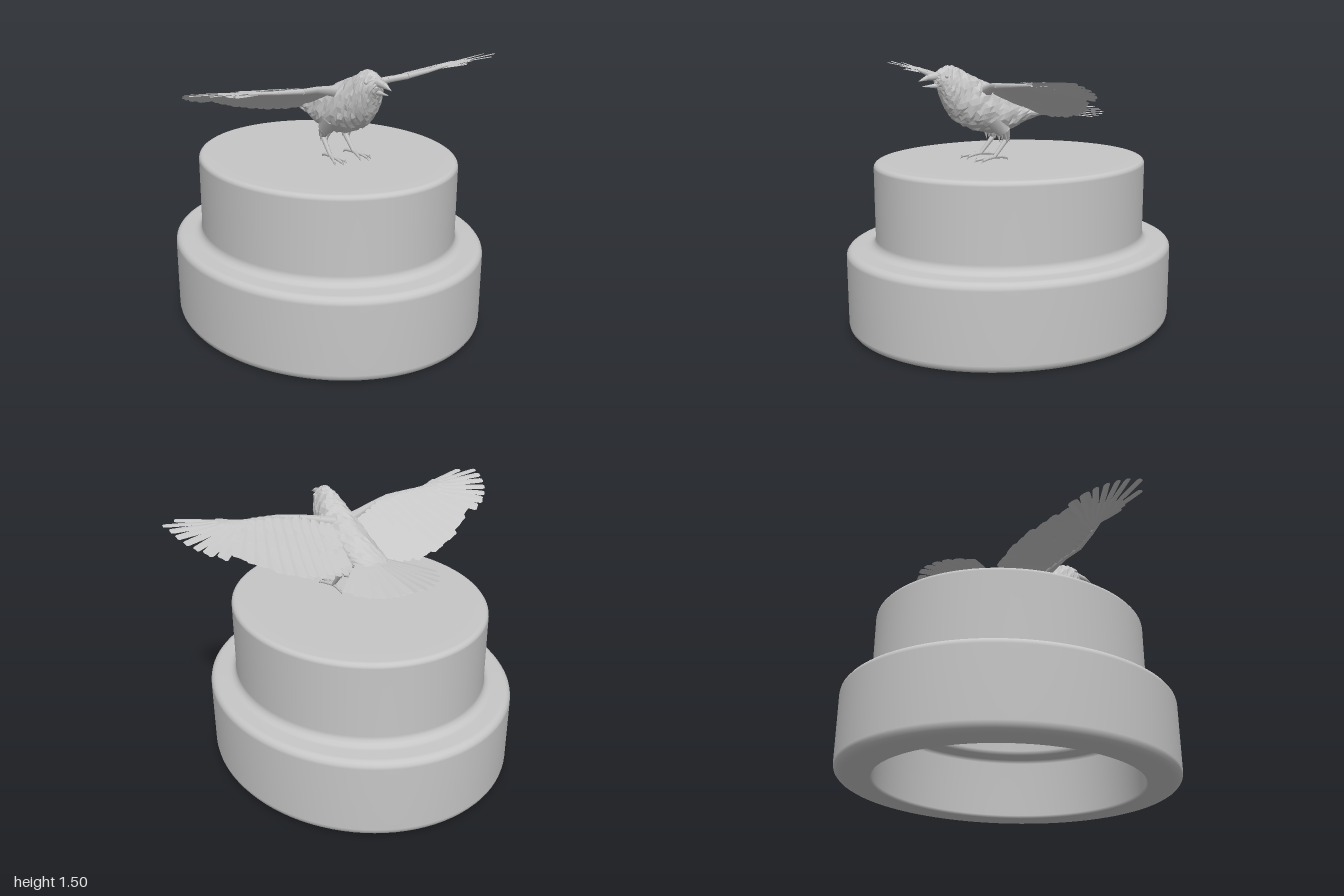
import * as THREE from 'three';
import { mergeGeometries } from 'three/addons/utils/BufferGeometryUtils.js';

const grey = new THREE.MeshStandardMaterial({ color: 0xc6c6c6, side: THREE.DoubleSide });
grey.name = 'plain grey';

const V = (x, y, z) => new THREE.Vector3(x, y, z);

function part(name, geometry) {
  const mesh = new THREE.Mesh(geometry, grey);
  mesh.name = name;
  return mesh;
}

function seeded(seed) {
  return () => (seed = (seed * 16807) % 2147483647) / 2147483647;
}

// Faceted geometry from a grid of points
function gridGeometry(rows) {
  const pos = [];
  for (let i = 0; i < rows.length - 1; i++) {
    for (let j = 0; j < rows[i].length - 1; j++) {
      const a = rows[i][j], b = rows[i][j + 1], c = rows[i + 1][j], d = rows[i + 1][j + 1];
      for (const p of [a, b, c, b, d, c]) pos.push(p.x, p.y, p.z);
    }
  }
  const g = new THREE.BufferGeometry();
  g.setAttribute('position', new THREE.Float32BufferAttribute(pos, 3));
  g.computeVertexNormals();
  return g;
}

// Tapered round bar between two points
function bar(a, b, r1, r2, sides = 7) {
  const dir = b.clone().sub(a);
  const g = new THREE.CylinderGeometry(r2, r1, dir.length(), sides);
  g.applyQuaternion(new THREE.Quaternion().setFromUnitVectors(V(0, 1, 0), dir.clone().normalize()));
  return g.translate((a.x + b.x) / 2, (a.y + b.y) / 2, (a.z + b.z) / 2);
}

// Feather vane laid on a height surface; root and tip are [x, z]
function feather(root, tip, width, height, lift = 0) {
  const dx = tip[0] - root[0], dz = tip[1] - root[1], len = Math.hypot(dx, dz);
  const stations = [[0, 0.4], [0.3, 0.75], [0.7, 1], [0.97, 0.95], [1, 0.65]];
  return gridGeometry(stations.map(([t, w]) => [-1, 0, 1].map((s) => {
    const half = s * w * width / 2;
    const x = root[0] + dx * t - dz / len * half, z = root[1] + dz * t + dx / len * half;
    return V(x, height(x, z) + lift + (s === 0 ? 0.003 : 0) + half * 0.12, z);
  })));
}

// Stepped oval plinth, hollow underneath
function plinth() {
  const path = [[0, 0.86], [0.55, 0.86], [0.57, 0.84], [0.57, 0.4], [0.58, 0.375], [0.66, 0.37], [0.675, 0.35],
    [0.675, 0.015], [0.685, 0]].map((p) => new THREE.Vector2(...p));
  const arc = (cx, cy, r, from, to) => {
    for (let i = 0; i <= 4; i++) {
      const a = (from + (to - from) * i / 4) * Math.PI / 180;
      path.push(new THREE.Vector2(cx + r * Math.cos(a), cy + r * Math.sin(a)));
    }
  };
  arc(0.81, 0.05, 0.05, -90, 0);
  arc(0.82, 0.44, 0.04, 0, 90);
  arc(0.76, 0.53, 0.05, 270, 180);
  arc(0.683, 0.933, 0.027, 0, 90);
  path.push(new THREE.Vector2(0.62, 0.96), new THREE.Vector2(0, 0.96));
  const g = new THREE.LatheGeometry(path, 96);
  g.scale(1, 1, 1.125);
  return part('plinth', g);
}

// Head, chest and back as one ruffled loft: z, top, bottom, half width
function body() {
  const rand = seeded(77);
  const sections = [
    [0.475, 1.455, 1.4, 0.022], [0.455, 1.478, 1.37, 0.045], [0.43, 1.49, 1.31, 0.063], [0.4, 1.498, 1.245, 0.077],
    [0.36, 1.492, 1.2, 0.088], [0.3, 1.465, 1.16, 0.105], [0.22, 1.425, 1.13, 0.125], [0.12, 1.385, 1.115, 0.13],
    [0.02, 1.34, 1.135, 0.12], [-0.08, 1.295, 1.175, 0.106], [-0.18, 1.255, 1.2, 0.09], [-0.26, 1.237, 1.21, 0.05],
  ];
  const spans = new THREE.CatmullRomCurve3(sections.map(([z, top, bottom]) => V(top, bottom, z)));
  const widths = new THREE.CatmullRomCurve3(sections.map(([z, , , w]) => V(w, 0, z)));
  const sides = 28, steps = 36;
  const rows = [];
  for (let i = 0; i <= steps; i++) {
    const span = spans.getPoint(i / steps), w = widths.getPoint(i / steps).x, row = [];
    for (let j = 0; j < sides; j++) {
      const a = (j + (i % 2) / 2) / sides * Math.PI * 2, egg = 1 - 0.14 * Math.sin(a);
      const k = i > 4 ? 1 + (rand() - 0.5) * 0.1 : 1;
      row.push(V(w * egg * Math.cos(a) * k, (span.x + span.y) / 2 + (span.x - span.y) / 2 * Math.sin(a) * k,
        span.z + (rand() - 0.5) * 0.008));
    }
    rows.push([...row, row[0]]);
  }
  const cap = (row, y, z) => row.map(() => V(0, y, z));
  return part('body', gridGeometry([cap(rows[0], 1.428, 0.482), ...rows, cap(rows[0], 1.223, -0.27)].reverse()));
}

// Wing built on +x: flight feathers, coverts and arm
function wing() {
  const group = new THREE.Group();
  const height = (x, z) => {
    const d = z - 0.25;
    return 1.378 + 0.08 * x + Math.min(d, d * 0.15) * 0.46 * (1 - 0.35 * x);
  };
  const curve = (pts) => new THREE.CatmullRomCurve3(pts.map(([x, z]) => V(x, 0, z)));
  const tips = curve([[0.12, -0.13], [0.19, -0.175], [0.28, -0.205], [0.38, -0.2], [0.49, -0.175], [0.6, -0.11], [0.71, -0.03]]);
  const roots = curve([[0.06, 0.16], [0.12, 0.18], [0.2, 0.22], [0.28, 0.26], [0.37, 0.285], [0.46, 0.28], [0.54, 0.27]]);
  const primaries = [[0.8, -0.01], [0.865, 0.03], [0.91, 0.075], [0.945, 0.125], [0.97, 0.18], [0.985, 0.235], [1, 0.305], [0.92, 0.36]];

  const flight = [];
  const rows = { under: [], middle: [], upper: [] };
  const addCoverts = (root, tip, width, shift) => {
    const at = (t) => [root[0] + (tip[0] - root[0]) * t, root[1] + (tip[1] - root[1]) * t];
    rows.under.push(feather(root, at(0.5), width, height, -0.008));
    rows.middle.push(feather(root, at(0.56 + shift), width, height, 0.007));
    rows.upper.push(feather(root, at(0.34 - shift), width, height, 0.013));
  };
  for (let i = 0; i < 12; i++) {
    const r = roots.getPoint(i / 11), t = tips.getPoint(i / 11);
    const root = [r.x, r.z], tip = [t.x, t.z + (i % 2) * 0.01];
    flight.push(feather(root, tip, 0.09, height, i * 0.0005));
    addCoverts(root, tip, 0.08, (i % 3) * 0.03);
  }
  primaries.forEach((tip, i) => {
    const root = [0.55 + i * 0.012, 0.265 + i * 0.002];
    flight.push(feather(root, tip, i < 2 ? 0.06 : 0.038, height, 0.004 + i * 0.001));
    addCoverts(root, [tip[0] * 0.97, tip[1]], 0.042, (i % 2) * 0.04);
  });
  group.add(part('flightFeathers', mergeGeometries(flight)));
  for (const [name, list] of Object.entries(rows)) group.add(part(name + 'Coverts', mergeGeometries(list)));

  const arm = [[0.05, 0.19, 0.04], [0.13, 0.215, 0.028], [0.24, 0.25, 0.019], [0.35, 0.287, 0.016], [0.5, 0.285, 0.012], [0.66, 0.273, 0.006]]
    .map(([x, z, r]) => [V(x, height(x, z), z), r]);
  const bars = arm.slice(1).map(([p, r], i) => bar(arm[i][0], p, arm[i][1], r));
  group.add(part('wingArm', mergeGeometries(bars)));
  return group;
}

// Fanned tail
function tail() {
  const list = [];
  const height = (x, z) => 1.238 + (z + 0.15) * 0.06 - Math.abs(x) * 0.09;
  for (let i = -5; i <= 5; i++) {
    const a = i / 5 * 0.76, len = 0.475 - 0.09 * (i / 5) ** 2;
    list.push(feather([Math.sin(a) * 0.06, -0.1 - Math.cos(a) * 0.02],
      [Math.sin(a) * len, -0.105 - Math.cos(a) * len], 0.078, height, (5 - Math.abs(i)) * 0.002));
  }
  return part('tail', mergeGeometries(list));
}

// Leg on +x: feathered thigh, shank and four toes
function leg() {
  const group = new THREE.Group();
  const ankle = V(0.08, 0.988, 0.155), heel = V(0.075, 1.085, 0.07);
  const thigh = [bar(V(0.07, 1.21, 0.16), V(0.075, 1.13, 0.095), 0.062, 0.042, 9),
    bar(V(0.075, 1.13, 0.095), heel, 0.042, 0.018, 9)];
  // Shaggy tufts around the thigh
  for (let i = 0; i < 8; i++) {
    const a = i / 8 * Math.PI * 2, c = Math.cos(a), s = Math.sin(a);
    thigh.push(bar(V(0.073 + c * 0.028, 1.14, 0.105 + s * 0.03), V(0.076 + c * 0.026, 1.065 + (i % 2) * 0.02, 0.085 + s * 0.03), 0.014, 0.001, 4));
  }
  group.add(part('thigh', mergeGeometries(thigh)));
  group.add(part('shank', bar(heel, ankle, 0.015, 0.011)));
  const toes = [];
  for (const [x, z] of [[0.05, 0.25], [0.085, 0.275], [0.12, 0.25], [0.075, 0.075]]) {
    const tip = V(x, 0.978, z), knuckle = ankle.clone().lerp(tip, 0.6).setY(0.985);
    toes.push(bar(ankle, knuckle, 0.01, 0.009, 6), bar(knuckle, tip, 0.009, 0.007, 6),
      bar(tip, tip.clone().add(V(0, -0.015, Math.sign(z - 0.155) * 0.012)), 0.007, 0.001, 6));
  }
  group.add(part('toes', mergeGeometries(toes)));
  return group;
}

export function createModel() {
  const model = new THREE.Group();
  model.name = 'birdOnPlinth';
  model.add(plinth(), body(), tail());

  // Open beak
  model.add(part('upperBeak', mergeGeometries([
    bar(V(0, 1.447, 0.445), V(0, 1.438, 0.52), 0.026, 0.016, 8), bar(V(0, 1.438, 0.52), V(0, 1.42, 0.575), 0.016, 0.001, 8)])));
  model.add(part('lowerBeak', bar(V(0, 1.393, 0.44), V(0, 1.392, 0.55), 0.018, 0.002, 8)));

  // Paired parts
  for (const [side, s] of [['left', 1], ['right', -1]]) {
    for (const [name, build] of [['Wing', wing], ['Leg', leg]]) {
      const g = build();
      g.name = side + name;
      g.scale.x = s;
      model.add(g);
    }
    const eye = part(side + 'Eye', new THREE.SphereGeometry(0.01, 10, 8));
    eye.position.set(s * 0.052, 1.445, 0.43);
    model.add(eye);
  }
  return model;
}
